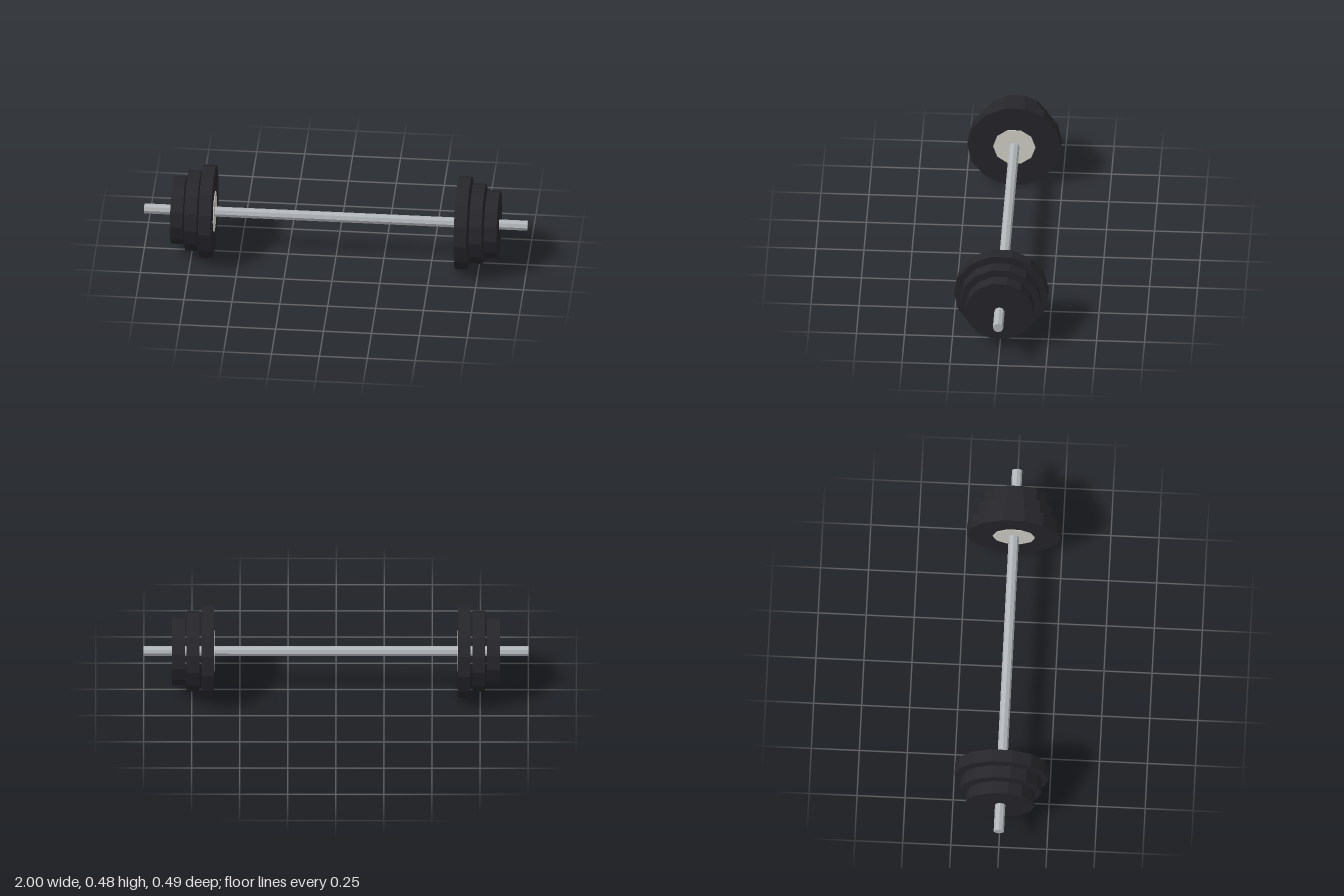
import * as THREE from 'three';

const AXIS_Y = 0.239;

const paint = (color) => new THREE.MeshStandardMaterial({ color, flatShading: true });

// Faceted disc or rod lying along x between x0 and x1
function rod(name, radius, sides, x0, x1, material) {
  const geometry = new THREE.CylinderGeometry(radius, radius, Math.abs(x1 - x0), sides);
  geometry.rotateZ(Math.PI / 2);
  const mesh = new THREE.Mesh(geometry, material);
  mesh.name = name;
  mesh.position.set((x0 + x1) / 2, AXIS_Y, 0);
  return mesh;
}

export function createModel() {
  const model = new THREE.Group();
  model.name = 'barbell';
  const steel = paint(0xb2b6ba);
  const rubber = paint(0x26262b);
  const hub = paint(0xd6d4cb);

  // Bar
  model.add(rod('bar', 0.027, 8, -1, 1, steel));

  // Weights: name, radius, inner x, outer x
  const plates = [
    ['largePlate', 0.245, 0.634, 0.7],
    ['mediumPlate', 0.211, 0.71, 0.776],
    ['smallPlate', 0.178, 0.786, 0.852],
  ];

  for (const [side, s] of [['left', 1], ['right', -1]]) {
    const weights = new THREE.Group();
    weights.name = side + 'Weights';
    for (const [name, radius, inner, outer] of plates) {
      weights.add(rod(name, radius, 14, s * inner, s * outer, rubber));
    }
    // Pale hub disc on the inner face of the largest plate
    weights.add(rod('hubDisc', 0.11, 10, s * 0.631, s * 0.66, hub));
    model.add(weights);
  }
  return model;
}
